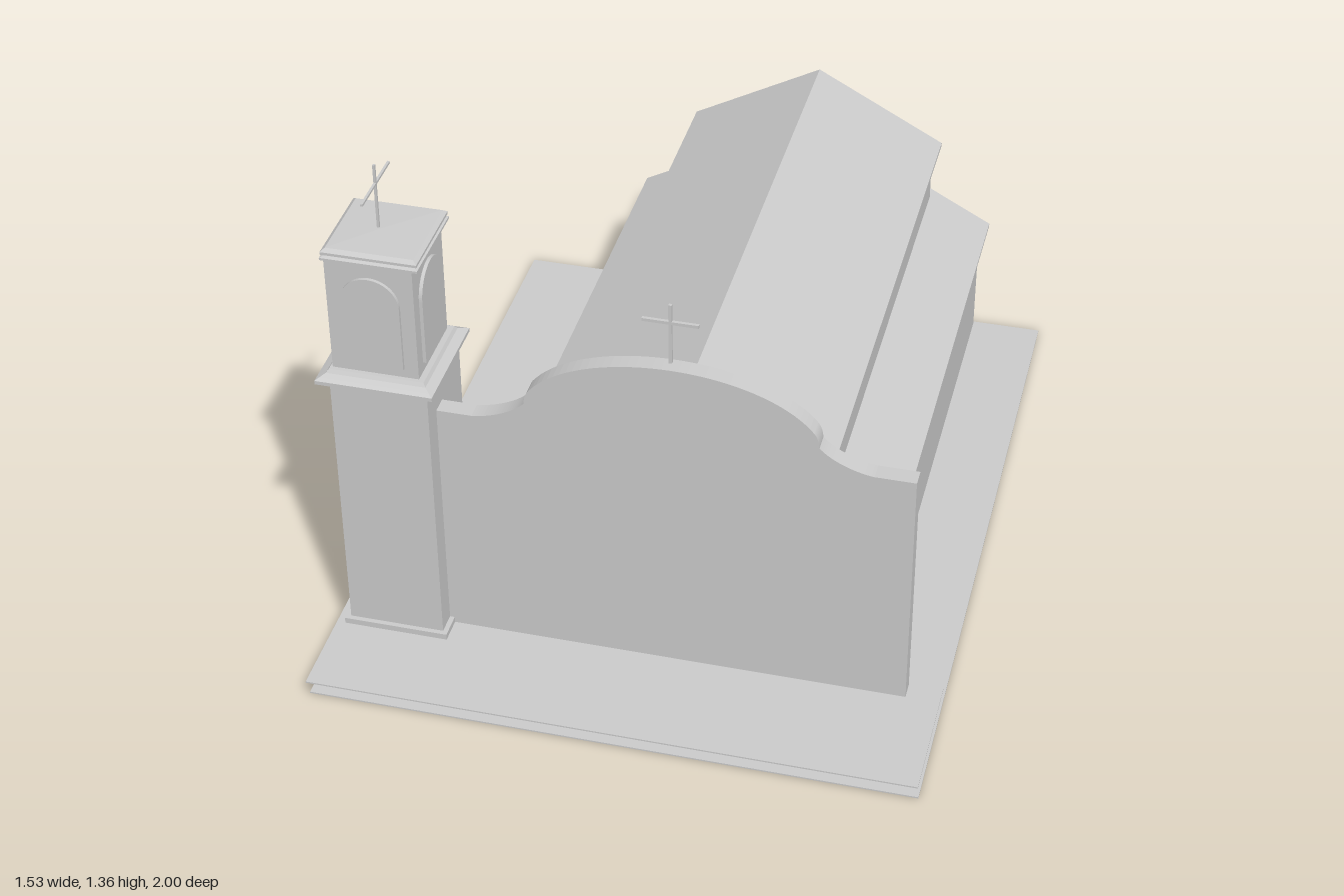
import * as THREE from 'three';

const mat = new THREE.MeshStandardMaterial({ color: 0xcccccc, flatShading: true });
const AXIS = 0.09;            // x of the nave ridge and facade centre
const SLOPE = 0.535;          // pitch shared by both roofs
const TX = -0.613, TZ = 0.637; // tower centre

function mesh(name, geometry, x = 0, y = 0, z = 0) {
  const m = new THREE.Mesh(geometry, mat);
  m.name = name;
  m.position.set(x, y, z);
  return m;
}

// Box placed by its bottom centre
function box(name, w, h, d, x, y, z) {
  return mesh(name, new THREE.BoxGeometry(w, h, d), x, y + h / 2, z);
}

// Outline in x/y extruded from z0 to z1
function extrude(name, shape, z0, z1, x = 0) {
  const g = new THREE.ExtrudeGeometry(shape, { depth: z1 - z0, bevelEnabled: false, curveSegments: 20 });
  return mesh(name, g, x, 0, z0);
}

function polygon(points) {
  return new THREE.Shape(points.map(([x, y]) => new THREE.Vector2(x, y)));
}

// Square moulding from a profile of [half width, height]
function moulding(name, profile, x, z) {
  const pts = profile.map(([r, y]) => new THREE.Vector2(r * Math.SQRT2, y));
  return mesh(name, new THREE.LatheGeometry(pts, 4, Math.PI / 4), x, 0, z);
}

// Gabled storey: walls and a thin overhanging roof
function storey(name, wallHalf, eaveHalf, eaveY, bottomEdge, bottomMid) {
  const g = new THREE.Group();
  g.name = name;
  const t = 0.009;
  const ridge = eaveY + eaveHalf * SLOPE;
  const under = ridge - t;
  const wallTop = under - wallHalf * SLOPE;
  g.add(extrude(name + 'Walls', polygon([
    [-wallHalf, bottomEdge], [0, bottomMid], [wallHalf, bottomEdge],
    [wallHalf, wallTop], [0, under], [-wallHalf, wallTop],
  ]), -0.96, 0.65, AXIS));
  g.add(extrude(name + 'Roof', polygon([
    [-eaveHalf, eaveY - t], [0, under], [eaveHalf, eaveY - t],
    [eaveHalf, eaveY], [0, ridge], [-eaveHalf, eaveY],
  ]), -1, 0.65, AXIS));
  return g;
}

// Curved parapet wall, mirrored about its centre
function facade() {
  const s = new THREE.Shape();
  s.moveTo(-0.59, 0);
  s.lineTo(0.59, 0);
  s.lineTo(0.59, 0.725);
  s.lineTo(0.49, 0.725);
  s.bezierCurveTo(0.44, 0.73, 0.385, 0.755, 0.358, 0.785);
  s.bezierCurveTo(0.357, 0.8, 0.353, 0.815, 0.345, 0.825);
  s.bezierCurveTo(0.28, 0.905, 0.14, 0.946, 0, 0.946);
  s.bezierCurveTo(-0.14, 0.946, -0.28, 0.905, -0.345, 0.825);
  s.bezierCurveTo(-0.353, 0.815, -0.357, 0.8, -0.358, 0.785);
  s.bezierCurveTo(-0.385, 0.755, -0.44, 0.73, -0.49, 0.725);
  s.lineTo(-0.59, 0.725);
  return extrude('facade', s, 0.657, 0.702, AXIS);
}

function cross(name, height, span, barY, thick) {
  const g = new THREE.Group();
  g.name = name;
  g.add(box(name + 'Post', thick, height, thick, 0, 0, 0));
  g.add(box(name + 'Bar', span, thick, thick, 0, barY - thick / 2, 0));
  return g;
}

function tower() {
  const g = new THREE.Group();
  g.name = 'bellTower';
  g.add(box('towerPlinth', 0.268, 0.072, 0.268, TX + 0.004, 0, TZ));
  g.add(box('towerShaft', 0.243, 0.81, 0.243, TX + 0.004, 0, TZ));
  g.add(moulding('towerCornice', [
    [0, 0.803], [0.128, 0.803], [0.137, 0.812], [0.146, 0.814], [0.146, 0.824],
    [0.137, 0.829], [0.124, 0.836], [0.118, 0.845], [0, 0.845],
  ], TX, TZ));
  g.add(box('belfry', 0.215, 0.325, 0.215, TX - 0.004, 0.84, TZ));

  // Raised arched panel on each belfry face
  const arch = new THREE.Shape();
  arch.moveTo(-0.073, 0.87);
  arch.lineTo(0.073, 0.87);
  arch.lineTo(0.073, 1.045);
  arch.absarc(0, 1.045, 0.073, 0, Math.PI, false);
  for (let i = 0; i < 4; i++) {
    const side = new THREE.Group();
    side.name = 'belfryArch';
    side.add(extrude('archPanel', arch, 0.1, 0.116));
    side.position.set(TX - 0.004, 0, TZ);
    side.rotation.y = i * Math.PI / 2;
    g.add(side);
  }

  g.add(moulding('belfryCap', [
    [0, 1.158], [0.119, 1.158], [0.119, 1.164], [0.11, 1.167], [0.117, 1.172],
    [0.117, 1.179], [0.107, 1.187], [0, 1.19],
  ], TX + 0.002, TZ));
  const c = cross('towerCross', 0.173, 0.19, 0.122, 0.006);
  c.position.set(-0.624, 1.188, TZ);
  c.rotation.y = Math.PI / 2;
  g.add(c);
  return g;
}

export function createModel() {
  const model = new THREE.Group();
  model.name = 'chapel';
  // Ground slab and raised forecourt
  model.add(box('ground', 1.53, 0.004, 1.95, 0, 0, 0.005));
  model.add(box('forecourt', 1.53, 0.004, 0.35, 0, 0.052, 0.825));
  // Aisle level, with the clerestory resting on its roof
  model.add(storey('aisle', 0.485, 0.507, 0.332, 0, 0));
  model.add(storey('clerestory', 0.337, 0.357, 0.582, 0.42, 0.42 + 0.337 * SLOPE));
  model.add(facade());
  const c = cross('facadeCross', 0.168, 0.136, 0.118, 0.008);
  c.position.set(0.085, 0.942, 0.67);
  model.add(c);
  model.add(tower());
  return model;
}
